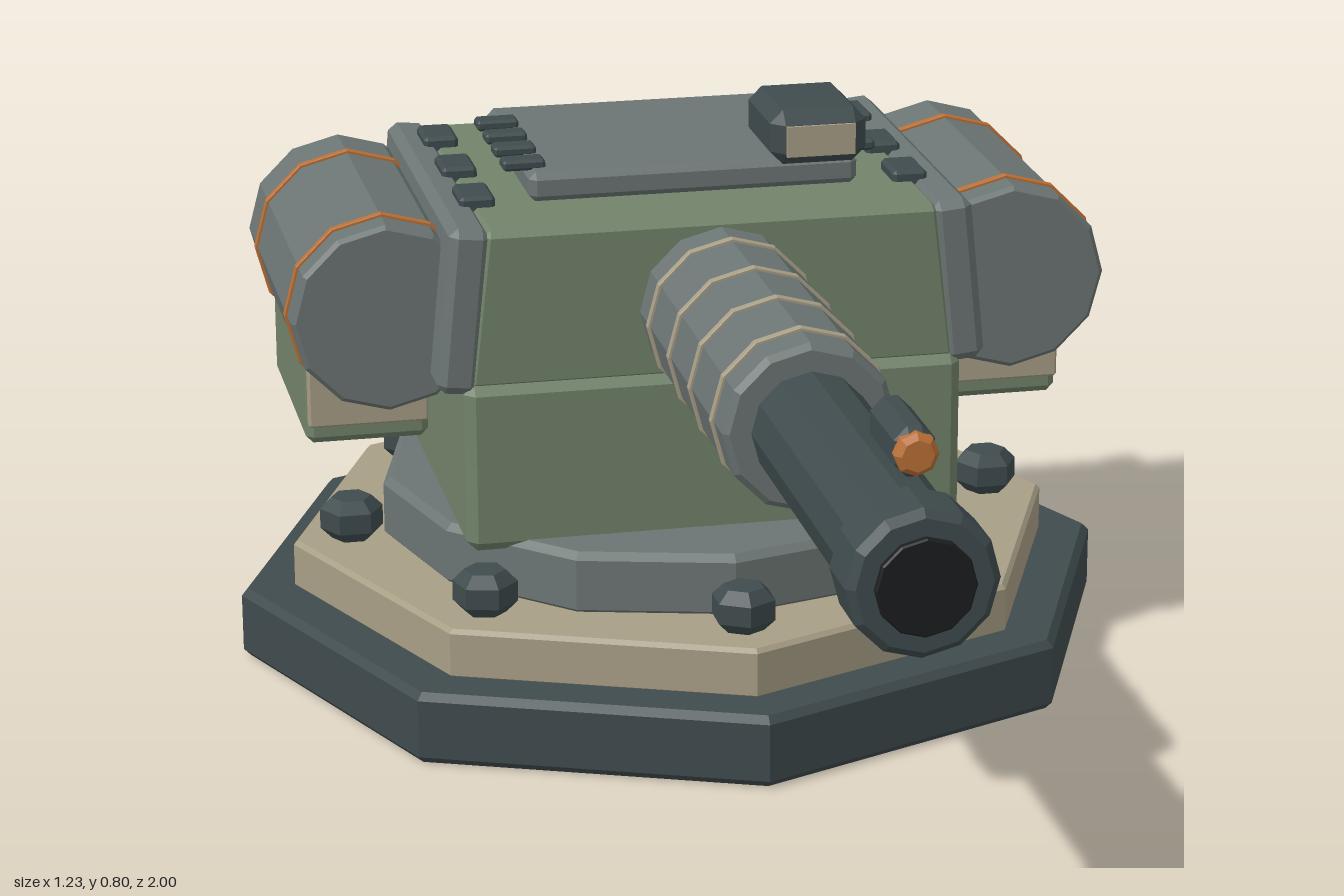
import * as THREE from 'three';
import { ConvexGeometry } from 'three/addons/geometries/ConvexGeometry.js';

const mat = (name, color) => {
  const m = new THREE.MeshStandardMaterial({ color });
  m.name = name;
  return m;
};

export function createModel() {
  const dark = mat('dark steel', 0x3f4b4d);
  const slate = mat('slate grey', 0x6b7573);
  const green = mat('olive green', 0x72836a);
  const tan = mat('sand', 0xa89e86);
  const orange = mat('orange', 0xbb7036);
  const black = mat('bore black', 0x1c1d1e);

  const model = new THREE.Group();
  model.name = 'turret';
  const CZ = -0.385; // turntable axis
  const BY = 0.57; // barrel height

  const add = (name, geometry, material, x = 0, y = 0, z = 0, parent = model) => {
    const mesh = new THREE.Mesh(geometry, material);
    mesh.name = name;
    mesh.position.set(x, y, z);
    parent.add(mesh);
    return mesh;
  };

  // Box with chamfered edges; the top may be narrower in x
  const block = (w, h, d, c, topScale = 1) => {
    const pts = [];
    for (const sx of [-1, 1]) for (const sy of [-1, 1]) for (const sz of [-1, 1])
      for (let full = 0; full < 3; full++) {
        const y = sy * (h / 2 - (full === 1 ? 0 : c));
        const k = 1 + (topScale - 1) * (y / h + 0.5);
        pts.push(new THREE.Vector3(
          sx * (w / 2 - (full === 0 ? 0 : c)) * k, y, sz * (d / 2 - (full === 2 ? 0 : c))));
      }
    return new ConvexGeometry(pts);
  };

  // Faceted solid turned from [radius, height] pairs, listed bottom to top
  const turned = (profile, sides) => {
    const g = new THREE.LatheGeometry(profile.map(p => new THREE.Vector2(...p)), sides).toNonIndexed();
    g.computeVertexNormals();
    return g;
  };
  // Chamfered prism from y0 to y1
  const prism = (r, y0, y1, c, sides) => turned(
    [[0, y0], [r - c, y0], [r, y0 + c], [r, y1 - c], [r - c, y1], [0, y1]], sides);
  const alongZ = (r, z0, z1, c, sides = 12) => prism(r, z0, z1, c, sides).rotateX(Math.PI / 2);

  // Stepped base
  add('basePlate', prism(0.615, 0, 0.1, 0.01, 8), dark, 0, 0, CZ);
  add('baseStep', prism(0.54, 0.095, 0.166, 0.006, 8), tan, 0, 0, CZ);
  add('turntable', prism(0.412, 0.16, 0.25, 0.01, 12), slate, 0, 0, CZ);
  const boltGeo = prism(0.044, 0.166, 0.226, 0.016, 6);
  for (let i = 0; i < 8; i++) {
    const a = i * Math.PI / 4;
    add('baseBolt', boltGeo, dark, Math.sin(a) * 0.458, 0, CZ + Math.cos(a) * 0.458).rotation.y = a;
  }

  // Hull
  add('lowerHull', block(0.68, 0.235, 0.57, 0.014), green, 0, 0.3525, -0.38);
  add('upperHull', block(0.67, 0.22, 0.55, 0.01, 0.92), green, 0, 0.57, -0.38);

  // Rear access panel with fixings
  add('rearPanel', block(0.27, 0.12, 0.014, 0.004), slate, 0, 0.565, -0.658);
  for (const x of [-0.11, 0.11])
    add('panelScrew', block(0.016, 0.016, 0.012, 0.004), dark, x, 0.565, -0.666);

  // Roof hatch
  add('roofHatch', block(0.452, 0.042, 0.355, 0.01), slate, 0, 0.699, -0.405);

  // Optic on the roof
  add('opticHousing', block(0.132, 0.075, 0.165, 0.018), dark, 0.16, 0.762, -0.253);
  add('opticLens', new THREE.BoxGeometry(0.094, 0.042, 0.006), tan, 0.16, 0.76, -0.169);

  for (const s of [-1, 1]) {
    const side = new THREE.Group();
    side.name = s > 0 ? 'leftSide' : 'rightSide';
    model.add(side);

    // Sloping cheek plate
    add('cheekPlate', block(0.056, 0.228, 0.565, 0.012), slate, s * 0.337, 0.57, -0.385, side)
      .rotation.z = s * 0.1;

    // Side pod with bands
    add('sidePod', alongZ(0.129, -0.637, -0.167, 0.006), slate, s * 0.43, 0.55, 0, side);
    for (const z of [-0.537, -0.217])
      add('podBand', alongZ(0.133, z - 0.006, z + 0.006, 0.001), orange, s * 0.43, 0.55, 0, side);

    // Box under the pod
    add('podBox', block(0.168, 0.14, 0.335, 0.01), green, s * 0.445, 0.41, -0.452, side);
    add('podBoxFront', block(0.164, 0.11, 0.018, 0.003), tan, s * 0.445, 0.423, -0.28, side);

    // Roof cleats and hatch latches
    for (const z of [-0.563, -0.405, -0.257])
      add('roofCleat', block(0.048, 0.03, 0.074, 0.005), dark, s * 0.298, 0.68, z, side);
    for (const z of [-0.48, -0.41, -0.343, -0.272])
      add('hatchLatch', block(0.058, 0.015, 0.032, 0.004), dark, s * 0.228, 0.724, z, side);
  }

  // Gun
  const gun = new THREE.Group();
  gun.name = 'gun';
  gun.position.y = BY;
  model.add(gun);
  add('gunCollar', alongZ(0.082, -0.13, -0.05, 0.004), dark, 0, 0, 0, gun);
  add('gunSleeve', alongZ(0.11, -0.072, 0.447, 0.008), slate, 0, 0, 0, gun);
  for (const z of [0, 0.13, 0.258, 0.387])
    add('sleeveRing', alongZ(0.114, z - 0.006, z + 0.006, 0.001), tan, 0, 0, 0, gun);
  add('barrel', alongZ(0.075, 0.43, 0.92, 0.003), dark, 0, 0, 0, gun);
  add('muzzle', alongZ(0.09, 0.9, 0.991, 0.01), dark, 0, 0, 0, gun);
  add('bore', alongZ(0.059, 0.96, 1, 0.002), black, 0, 0, 0, gun);

  // Front sight
  add('frontSight', block(0.048, 0.06, 0.138, 0.016), dark, 0, 0.14, 0.882, gun);
  add('sightTip', alongZ(0.026, 0.93, 0.955, 0.007, 8), orange, 0, 0.14, 0, gun);

  return model;
}
